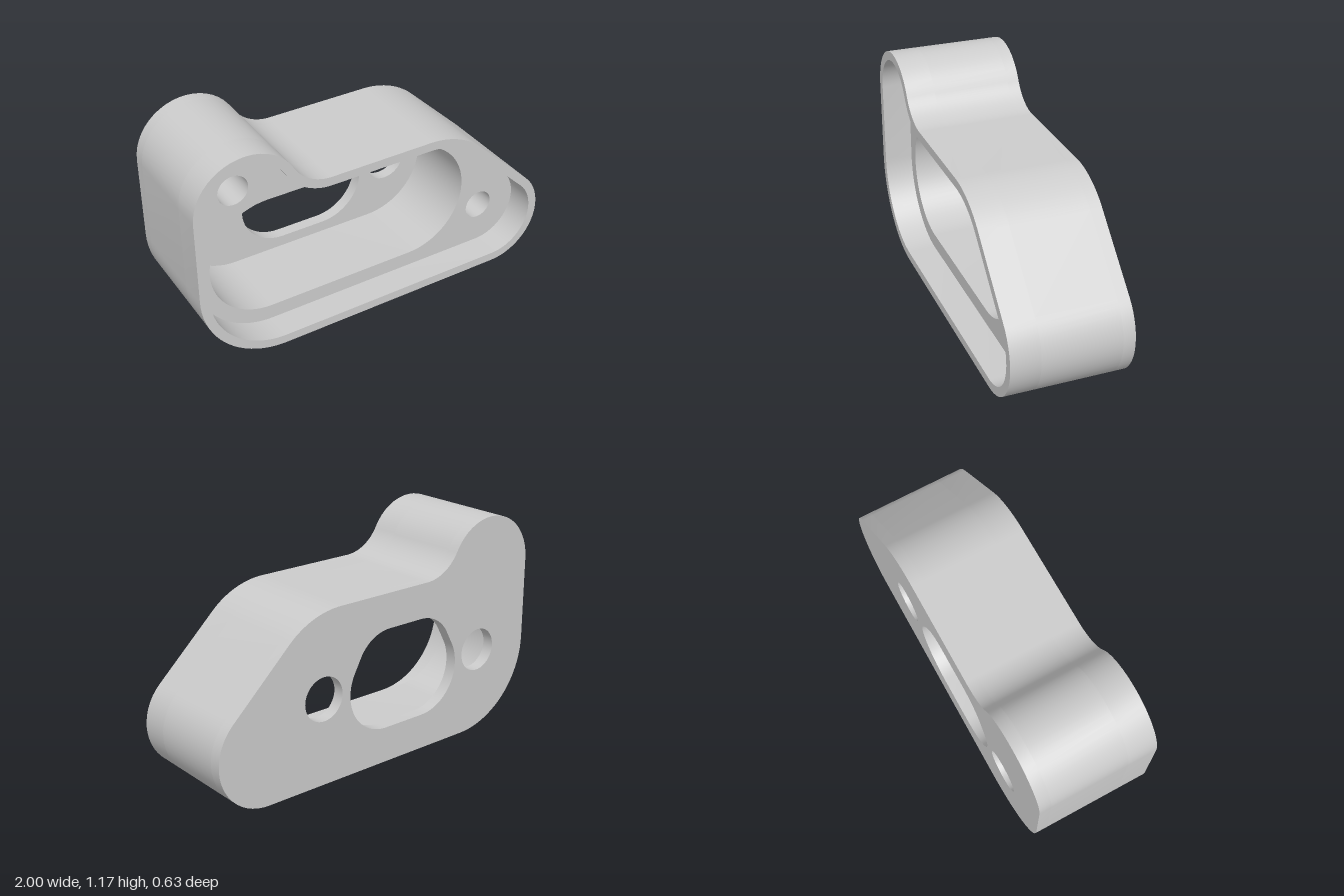
import * as THREE from 'three';
import { toCreasedNormals } from 'three/addons/utils/BufferGeometryUtils.js';

const PI = Math.PI;

// Outline from a chain of arcs [cx, cy, radius, startAngle, endAngle]; gaps become straight edges
function chain(arcs, steps = 20) {
  const pts = [];
  for (const [cx, cy, r, a, b] of arcs) {
    for (let i = 0; i <= steps; i++) {
      const t = a + ((b - a) * i) / steps;
      const p = new THREE.Vector2(cx + r * Math.cos(t), cy + r * Math.sin(t));
      if (!pts.length || p.distanceTo(pts[pts.length - 1]) > 1e-4) pts.push(p);
    }
  }
  if (pts[0].distanceTo(pts[pts.length - 1]) < 1e-4) pts.pop();
  return pts;
}

// Angle of the normal on the straight edge tangent to two circles (upper first)
function tangentAngle(x1, y1, r1, x2, y2, r2) {
  const dx = x2 - x1, dy = y2 - y1;
  return Math.atan2(dy, dx) + Math.acos((r1 - r2) / Math.hypot(dx, dy));
}

// Housing outline, offset inwards by inset
function outline(inset) {
  const slope = tangentAngle(0.28, 0.455, 0.45, 0.725, 0.275, 0.275);
  const neck = Math.atan2(0.241, 0.445);
  return chain([
    [-0.55, 0.45, 0.45 - inset, PI, 1.5 * PI],
    [0.725, 0.275, 0.275 - inset, -PI / 2, slope],
    [0.28, 0.455, 0.45 - inset, slope, PI / 2],
    [-0.28, 1.136, 0.231 + inset, -PI / 2, neck - PI],
    [-0.725, 0.895, 0.275 - inset, neck, PI],
  ]);
}

const circle = (x, y, r) => chain([[x, y, r, 0, 2 * PI]], 48);

// Long rounded pocket
const pocket = () => chain([
  [0.28, 0.455, 0.325, -PI / 2, PI / 2],
  [-0.55, 0.455, 0.325, PI / 2, 1.5 * PI],
], 32);

// Central opening, wide below and narrower above, mirrored about x = -0.136
function opening() {
  const c = -0.136, lo = [0.122, 0.425, 0.235], hi = [0.105, 0.51, 0.21];
  const a = tangentAngle(...hi, ...lo);
  return chain([
    [c + lo[0], lo[1], lo[2], -PI / 2, a],
    [c + hi[0], hi[1], hi[2], a, PI / 2],
    [c - hi[0], hi[1], hi[2], PI / 2, PI - a],
    [c - lo[0], lo[1], lo[2], PI - a, 1.5 * PI],
  ]);
}

export function createModel() {
  const group = new THREE.Group();
  group.name = 'housing';
  const material = new THREE.MeshStandardMaterial({ color: 0xcccccc });

  const layer = (name, holes, z0, z1) => {
    const shape = new THREE.Shape(outline(0));
    shape.holes = holes.map((h) => new THREE.Path(h));
    const geo = new THREE.ExtrudeGeometry(shape, { depth: z1 - z0, bevelEnabled: false });
    geo.translate(0, 0, z0);
    const mesh = new THREE.Mesh(toCreasedNormals(geo, PI / 6), material);
    mesh.name = name;
    group.add(mesh);
  };

  // Back plate with the central opening and two round holes
  layer('backPlate', [opening(), circle(-0.655, 0.455, 0.115), circle(0.385, 0.455, 0.115)], -0.313, -0.25);
  // Deep body with the pocket and two blind screw holes
  layer('body', [pocket(), circle(-0.725, 0.895, 0.08), circle(0.725, 0.28, 0.08)], -0.25, 0.16);
  // Thin rim round the front recess
  layer('rim', [outline(0.048)], 0.16, 0.313);

  return group;
}
